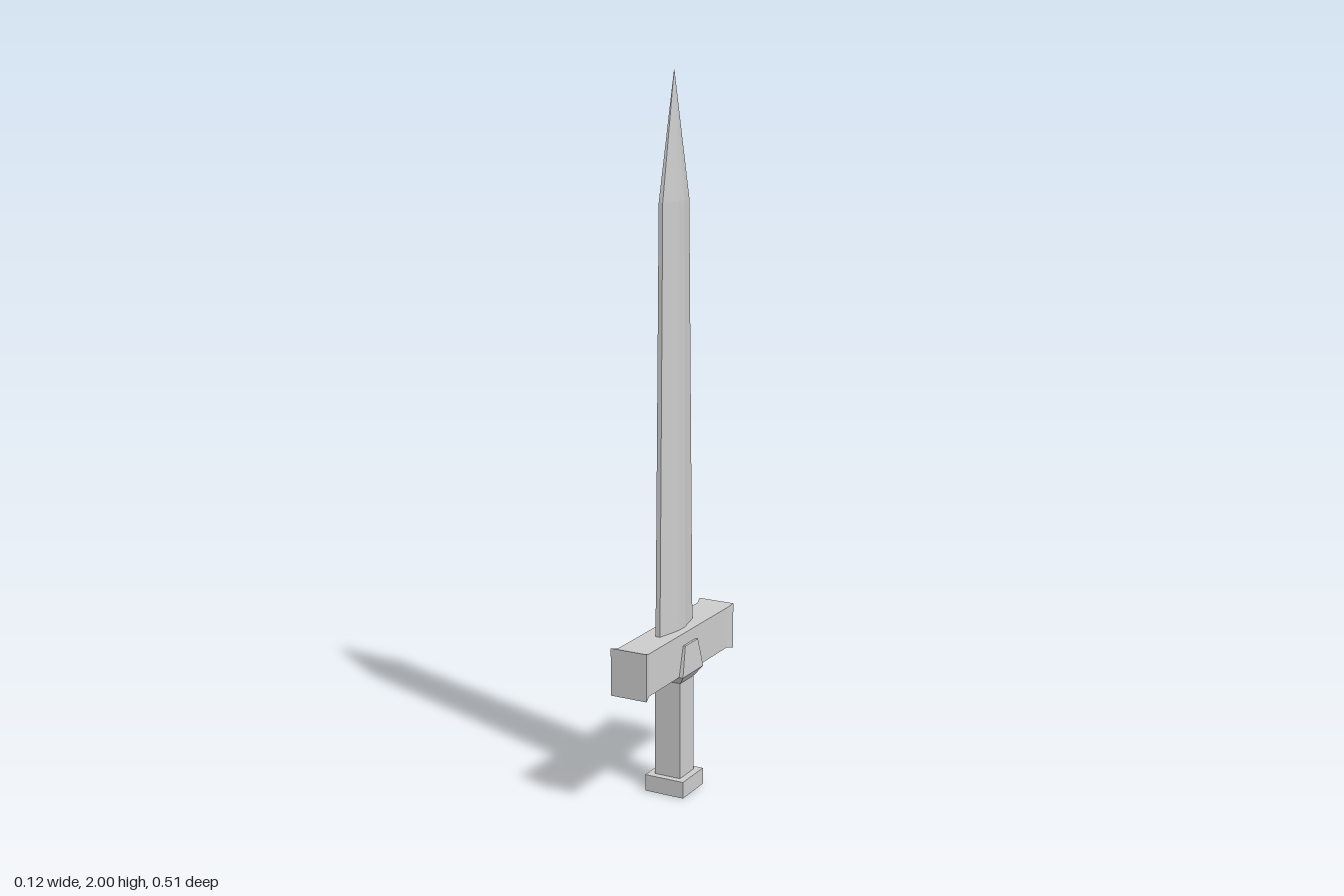
import * as THREE from 'three';

const material = new THREE.MeshStandardMaterial({ color: 0xcccccc, flatShading: true });

function named(name, geometry) {
  const mesh = new THREE.Mesh(geometry, material);
  mesh.name = name;
  return mesh;
}

// Skin a stack of equal-length rings of Vector3 and cap both ends.
// Rings run counter-clockwise seen from the end of the stack.
function loft(name, rings) {
  const n = rings[0].length;
  const points = rings.flat();
  const index = [];
  for (let r = 0; r < rings.length - 1; r++) {
    for (let i = 0; i < n; i++) {
      const a = r * n + i, b = r * n + (i + 1) % n;
      index.push(a, b, b + n, a, b + n, a + n);
    }
  }
  const last = (rings.length - 1) * n;
  for (let i = 1; i < n - 1; i++) {
    index.push(0, i + 1, i, last, last + i, last + i + 1);
  }
  const indexed = new THREE.BufferGeometry().setFromPoints(points);
  indexed.setIndex(index);
  const geometry = indexed.toNonIndexed();
  geometry.computeVertexNormals();
  return named(name, geometry);
}

// Rectangular ring lying flat at height y
const flatRing = (y, x, z) =>
  [[x, z], [x, -z], [-x, -z], [-x, z]].map(([px, pz]) => new THREE.Vector3(px, y, pz));

// Rectangular ring standing upright at depth z
const uprightRing = (z, x, h, mid) =>
  [[x, h], [-x, h], [-x, -h], [x, -h]].map(([px, py]) => new THREE.Vector3(px, mid + py, z));

// Eight-sided blade section: blunt narrow edges and a flat centre ridge
const bladeRing = (y, x, z, edge, ridge) =>
  [[edge, z], [x, ridge], [x, -ridge], [edge, -z], [-edge, -z], [-x, -ridge], [-x, ridge], [-edge, z]]
    .map(([px, pz]) => new THREE.Vector3(px, y, pz));

export function createModel() {
  const sword = new THREE.Group();
  sword.name = 'sword';

  // Tapered blade ending in a point
  sword.add(loft('blade', [
    bladeRing(0.45, 0.024, 0.095, 0.007, 0.018),
    bladeRing(1.66, 0.023, 0.074, 0.006, 0.016),
    bladeRing(2.0, 0.0004, 0.0008, 0.0002, 0.0003),
  ]));

  // Crossguard with flared ends
  sword.add(loft('crossguard', [
    [-0.256, 0.055, 0.067], [-0.23, 0.048, 0.06],
    [0.23, 0.048, 0.06], [0.256, 0.055, 0.067],
  ].map(([z, x, h]) => uprightRing(z, x, h, 0.415))));

  // Collar that wraps the middle of the guard and narrows onto the grip
  sword.add(loft('collar', [
    flatRing(0.33, 0.042, 0.042),
    flatRing(0.355, 0.06, 0.06),
    flatRing(0.44, 0.055, 0.037),
  ]));

  // Square grip
  const grip = named('grip', new THREE.BoxGeometry(0.08, 0.3, 0.08));
  grip.position.y = 0.19;
  sword.add(grip);

  // Pommel block
  const pommel = named('pommel', new THREE.BoxGeometry(0.12, 0.048, 0.12));
  pommel.position.y = 0.024;
  sword.add(pommel);

  return sword;
}
